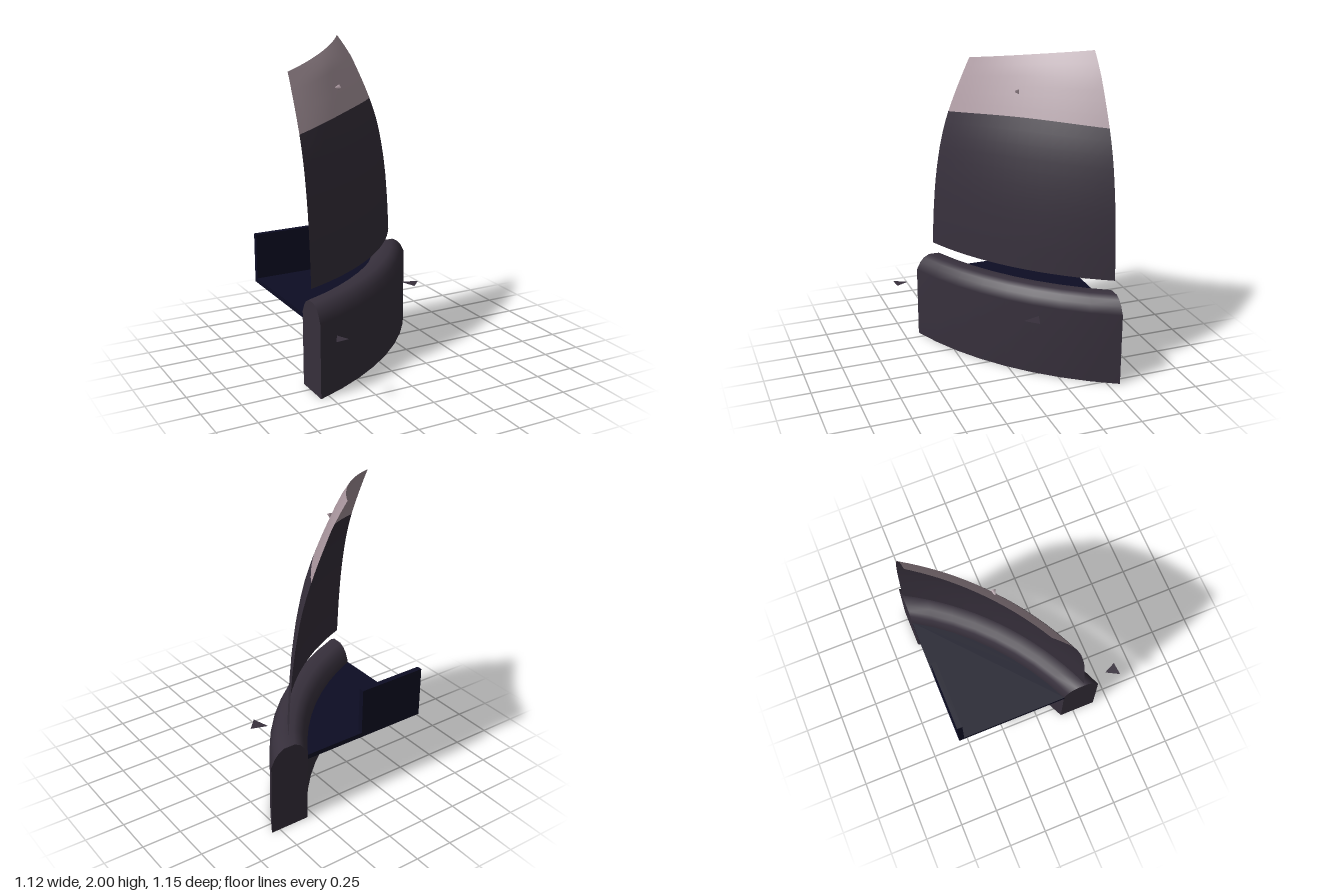
import * as THREE from 'three';

// Everything is a slice of rings about one vertical axis, cut off by two upright planes
const CX = -1.293, CZ = -1.567, CUT_X = -0.56, CUT_Z = -0.575;
const startAngle = (r) => Math.asin((CUT_X - CX) / r);
const endAngle = (r) => Math.acos((CUT_Z - CZ) / r);

function ringPoint(r, y, s) {
  const a = THREE.MathUtils.lerp(startAngle(r), endAngle(r), s);
  return [CX + r * Math.sin(a), y, CZ + r * Math.cos(a)];
}

function geometryFrom(positions, index) {
  const g = new THREE.BufferGeometry();
  g.setAttribute('position', new THREE.Float32BufferAttribute(positions, 3));
  g.setIndex(index);
  g.computeVertexNormals();
  return g;
}

// Surface swept round the axis; at(s, j) returns [radius, height]
function sweep(at, rows, cols) {
  const pos = [], idx = [];
  for (let j = 0; j <= rows; j++) {
    for (let i = 0; i <= cols; i++) pos.push(...ringPoint(...at(i / cols, j), i / cols));
  }
  for (let j = 0; j < rows; j++) {
    for (let i = 0; i < cols; i++) {
      const a = j * (cols + 1) + i, b = a + 1, c = a + cols + 1, d = c + 1;
      idx.push(a, b, d, a, d, c);
    }
  }
  return geometryFrom(pos, idx);
}

// Flat end of a convex ring profile
function endCap(profile, s) {
  const idx = [];
  for (let i = 1; i < profile.length - 1; i++) idx.push(...(s === 0 ? [0, i, i + 1] : [0, i + 1, i]));
  return geometryFrom(profile.flatMap(([r, y]) => ringPoint(r, y, s)), idx);
}

// Curved wall profile: height, radius
const WALL = [[0.65, 1.992], [0.85, 1.984], [1.06, 1.969], [1.2, 1.952], [1.33, 1.931], [1.44, 1.907],
  [1.54, 1.877], [1.63, 1.845], [1.72, 1.81], [1.82, 1.769], [1.88, 1.743], [2.0, 1.67]];
function wallRadius(y) {
  let k = 0;
  while (k < WALL.length - 2 && y > WALL[k + 1][0]) k++;
  const [y0, r0] = WALL[k], [y1, r1] = WALL[k + 1];
  return r0 + (r1 - r0) * (y - y0) / (y1 - y0);
}
const seam = (s) => 1.54 + 0.035 * s + 0.032 * Math.sin(Math.PI * s);
const rim = (s) => 1.88 + 0.12 * s + 0.008 * Math.sin(Math.PI * s);

export function createModel() {
  const group = new THREE.Group();
  const material = (name, color, side = THREE.FrontSide) => {
    const m = new THREE.MeshStandardMaterial({ color, side });
    m.name = name;
    return m;
  };
  const dark = material('dark plum', 0x37303c, THREE.DoubleSide);
  const pink = material('dusty pink', 0xab98a0, THREE.DoubleSide);
  const navy = material('deep navy', 0x0d0d24);
  const add = (name, geometry, mat, parent = group) => {
    const mesh = new THREE.Mesh(geometry, mat);
    mesh.name = name;
    parent.add(mesh);
    return mesh;
  };

  // Base ring with a rounded top
  const profile = [[2.1, 0], [2.1, 0.47], [2.077, 0.52], [2.053, 0.55], [2.02, 0.57],
    [1.955, 0.57], [1.922, 0.55], [1.898, 0.52], [1.875, 0.47], [1.875, 0]];
  const base = new THREE.Group();
  base.name = 'baseRing';
  group.add(base);
  add('baseBody', sweep((s, j) => profile[j], profile.length - 1, 8), dark, base);
  add('baseUnderside', sweep((s, j) => [j ? 2.1 : 1.875, 0], 1, 8), dark, base);
  add('baseStartCap', endCap(profile, 0), dark, base);
  add('baseEndCap', endCap(profile, 1), dark, base);

  // Thin curved wall in two colours
  const band = (low, high, rows) => sweep((s, j) => {
    const y = THREE.MathUtils.lerp(low(s), high(s), j / rows);
    return [wallRadius(y), y];
  }, rows, 16);
  add('lowerWall', band(() => 0.65, seam, 12), dark);
  add('upperWall', band(seam, rim, 6), pink);

  // Small spike on the upper wall
  const spike = add('wallSpike', new THREE.ConeGeometry(0.018, 0.045, 3), pink);
  spike.position.set(-0.165, 1.735, -0.155);
  spike.rotation.z = Math.PI / 2;

  // Floor reaching from the corner to the base ring
  const floor = new THREE.Shape();
  floor.moveTo(CUT_X, -CUT_Z);
  for (let i = 8; i >= 0; i--) {
    const [x, , z] = ringPoint(1.878, 0, i / 8);
    floor.lineTo(x, -z);
  }
  const floorGeometry = new THREE.ExtrudeGeometry(floor, { depth: 0.03, bevelEnabled: false });
  floorGeometry.rotateX(-Math.PI / 2);
  add('floor', floorGeometry, navy).position.y = 0.43;

  // Upright plate at the back of the floor
  add('backPlate', new THREE.BoxGeometry(0.455, 0.32, 0.035), navy).position.set(-0.3325, 0.597, -0.5575);

  // Loose flat triangles outside the ring
  const shards = [
    [[0.287, -0.135], [0.32, -0.022], [0.393, -0.1]],
    [[-0.495, 0.485], [-0.543, 0.572], [-0.457, 0.565]],
  ];
  for (const corners of shards) {
    add('shard', geometryFrom(corners.flatMap(([x, z]) => [x, 0.42, z]), [0, 1, 2]), dark);
  }
  return group;
}
